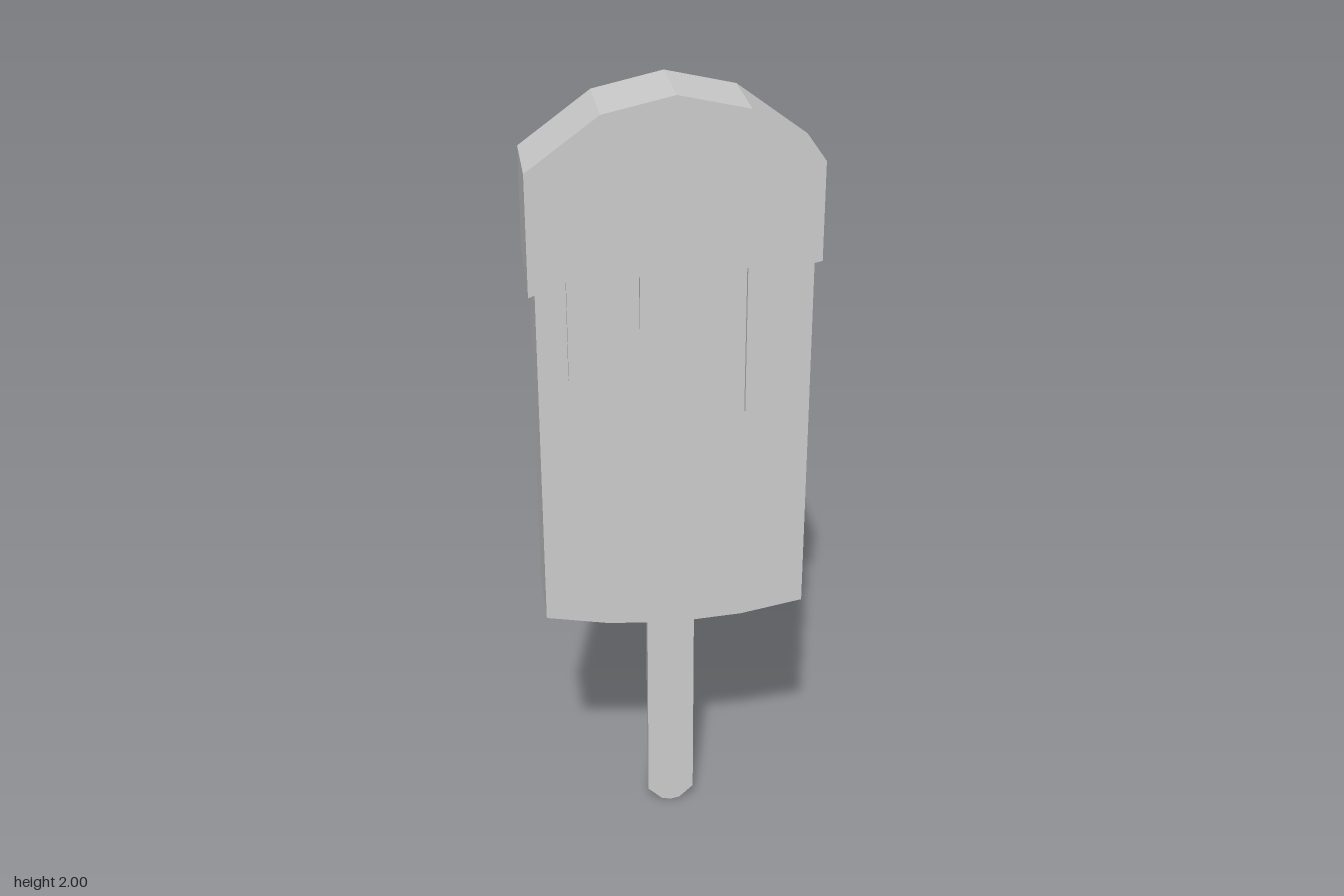
import * as THREE from 'three';

const material = new THREE.MeshStandardMaterial({ color: 0xcccccc, flatShading: true });

// Flat slab cut from an outline, spanning z0 to z1
function slab(name, points, z0, z1) {
  const shape = new THREE.Shape(points.map(([x, y]) => new THREE.Vector2(x, y)));
  const geometry = new THREE.ExtrudeGeometry(shape, { depth: z1 - z0, bevelEnabled: false });
  geometry.translate(0, 0, z0);
  const mesh = new THREE.Mesh(geometry, material);
  mesh.name = name;
  return mesh;
}

// Rounded drip from its left root to its right root
function drip(left, right, leftY, rightY, bottom) {
  return [
    [left, leftY], [left, bottom + 0.03], [left + 0.018, bottom + 0.006],
    [(left + right) / 2, bottom],
    [right - 0.018, bottom + 0.006], [right, bottom + 0.03], [right, rightY],
  ];
}

const W = 0.343; // half width of the coating
const D = 0.106; // half depth of the coating
const coatingTop = [[W, 1.835], [0.17, 1.962], [0, 2], [-0.17, 1.962], [-W, 1.835]];

// Half of the coating; its lower side corners slant to meet the other half at z = 0
function coatingHalf(name, leftY, rightY, drips, z0, z1, seamLeft, seamRight) {
  const mesh = slab(name, [[-W, leftY], ...drips.flat(), [W, rightY], ...coatingTop], z0, z1);
  const p = mesh.geometry.attributes.position;
  for (let i = 0; i < p.count; i++) {
    if (Math.abs(p.getZ(i)) < 1e-4 && Math.abs(p.getX(i)) > W - 1e-3 && p.getY(i) < 1.7) {
      p.setY(i, p.getX(i) < 0 ? seamLeft : seamRight);
    }
  }
  mesh.geometry.computeVertexNormals();
  return mesh;
}

export function createModel() {
  const group = new THREE.Group();
  group.name = 'icePop';

  // Stick with a blunt rounded end
  group.add(slab('stick', [
    [-0.061, 0.04], [-0.024, 0.005], [0, 0], [0.024, 0.005], [0.061, 0.04],
    [0.061, 0.8], [-0.061, 0.8],
  ], -0.013, 0.013));

  // Ice body with a bowed bottom, running up inside the coating
  group.add(slab('iceBody', [
    [-0.327, 0.667], [-0.17, 0.638], [0, 0.627], [0.17, 0.638], [0.327, 0.667],
    [0.327, 1.8], [-0.327, 1.8],
  ], -0.093, 0.093));

  // Coating with different drips on front and back
  group.add(coatingHalf('frontCoating', 1.54, 1.595, [
    drip(-0.255, -0.174, 1.573, 1.587, 1.295),
    drip(-0.085, -0.003, 1.577, 1.56, 1.415),
    drip(0.168, 0.251, 1.587, 1.575, 1.187),
  ], 0, D, 1.558, 1.577));
  group.add(coatingHalf('backCoating', 1.576, 1.56, [
    drip(-0.255, -0.174, 1.562, 1.553, 1.165),
    drip(-0.085, -0.003, 1.572, 1.592, 1.3),
    drip(0.168, 0.251, 1.552, 1.552, 1.345),
  ], -D, 0, 1.558, 1.577));

  return group;
}
